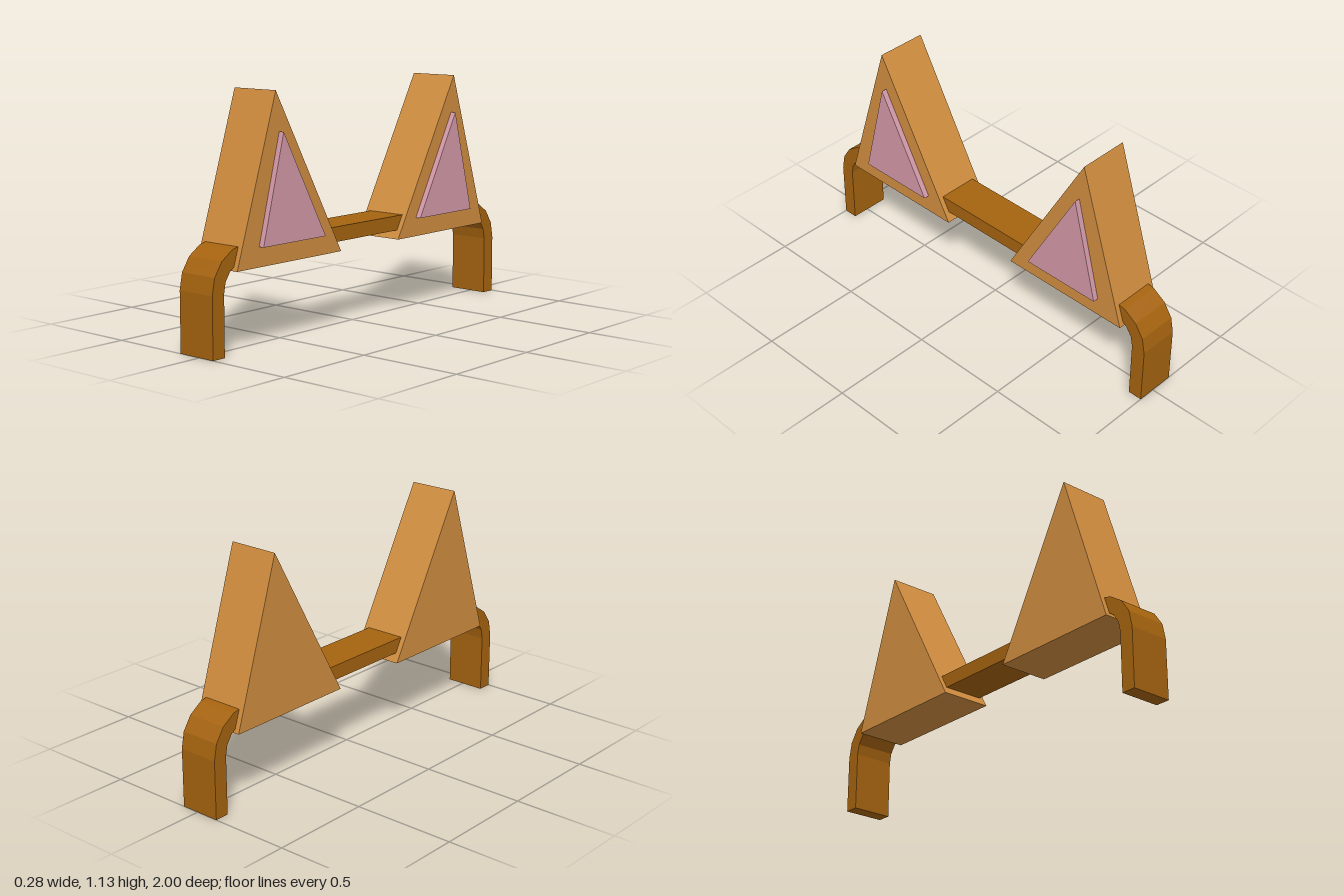
import * as THREE from 'three';

const mat = (name, color) => new THREE.MeshStandardMaterial({ name, color });

// Extrude a (z, y) outline across x, from xMin to xMax
function slab(name, outline, xMin, xMax, material) {
  const shape = new THREE.Shape(outline.map(([z, y]) => new THREE.Vector2(z, y)));
  const geometry = new THREE.ExtrudeGeometry(shape, { depth: xMax - xMin, bevelEnabled: false });
  geometry.rotateY(-Math.PI / 2).translate(xMax, 0, 0);
  const mesh = new THREE.Mesh(geometry, material);
  mesh.name = name;
  return mesh;
}

// Arch line with rounded corners, offset inward by the given amount
function archLine(inset) {
  const radius = 0.2 - inset, cornerZ = 0.8, cornerY = 0.28, steps = 4;
  const half = [[1 - inset, 0]];
  for (let i = 0; i <= steps; i++) {
    const a = (i / steps) * Math.PI / 2;
    half.push([cornerZ + radius * Math.cos(a), cornerY + radius * Math.sin(a)]);
  }
  return [...half, ...half.map(([z, y]) => [-z, y]).reverse()];
}

export function createModel() {
  const model = new THREE.Group();
  model.name = 'earHeadband';
  const bandBrown = mat('bandBrown', 0xa5630f);
  const earTan = mat('earTan', 0xd08d3f);
  const innerPink = mat('innerPink', 0xd499a8);

  // Flat band bent down at both ends
  const band = [...archLine(0), ...archLine(0.07).reverse()];
  model.add(slab('headband', band, -0.115, 0.085, bandBrown));

  // Mirrored pair of ears, each with a raised inner panel
  for (const side of [1, -1]) {
    const ear = new THREE.Group();
    ear.name = side > 0 ? 'frontEar' : 'backEar';
    const outer = [[0.875, 0.37], [0.205, 0.37], [0.63, 1.13]];
    const inner = [[0.74, 0.46], [0.34, 0.46], [0.61, 0.95]];
    const flip = (points) => points.map(([z, y]) => [z * side, y]);
    ear.add(slab('outerEar', flip(outer), -0.14, 0.11, earTan));
    ear.add(slab('innerEar', flip(inner), 0.1, 0.137, innerPink));
    model.add(ear);
  }
  return model;
}
